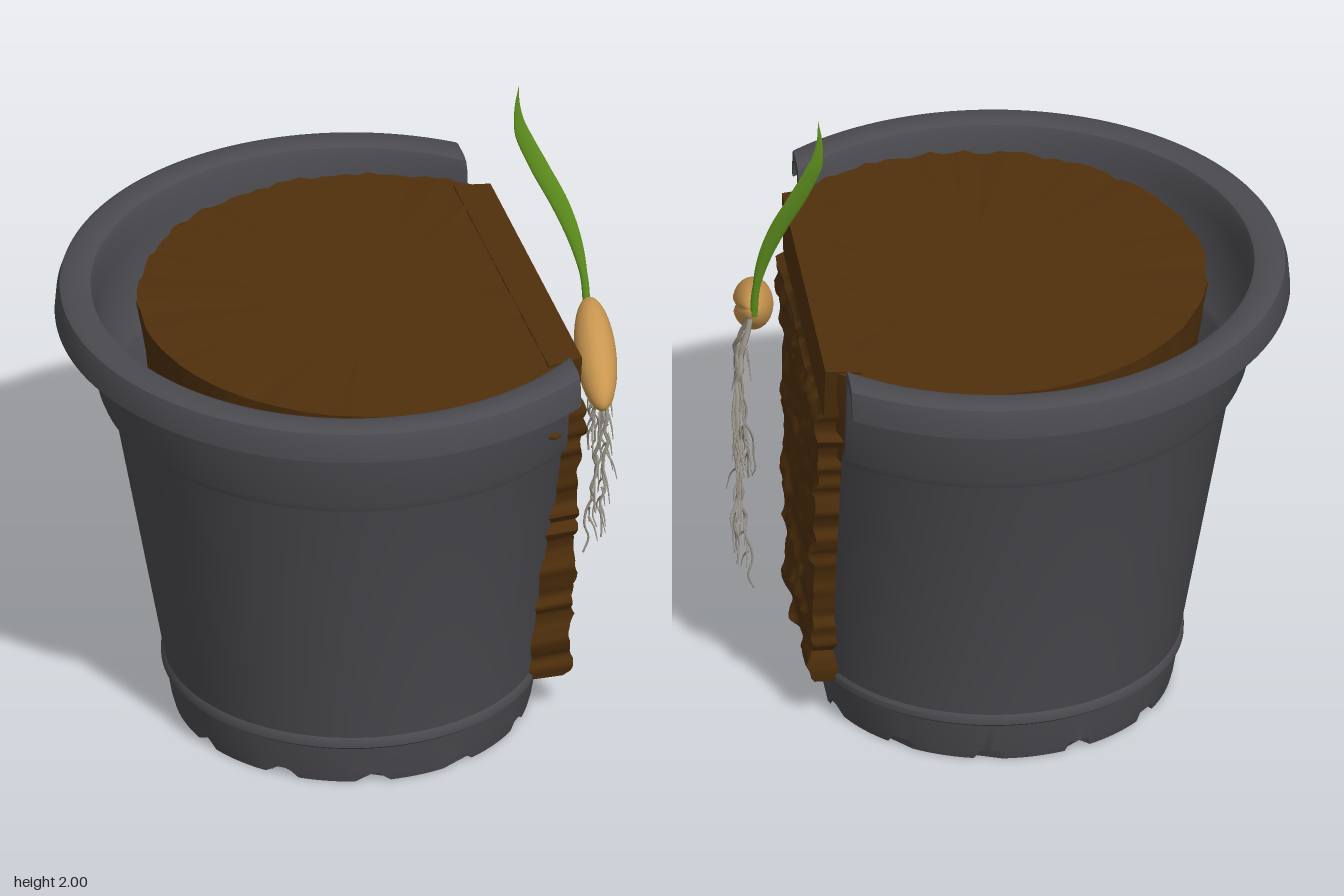
import * as THREE from 'three';
import { toCreasedNormals } from 'three/addons/utils/BufferGeometryUtils.js';

const V = (x, y, z) => new THREE.Vector3(x, y, z);
const lerp = THREE.MathUtils.lerp;
const material = (name, color) => {
  const m = new THREE.MeshStandardMaterial({ color });
  m.name = name;
  return m;
};

// Smooth repeatable noise from 0 to 1
const hash = (i, j) => {
  const s = Math.sin(i * 127.1 + j * 311.7) * 43758.5453;
  return s - Math.floor(s);
};
function noise(u, v) {
  const i = Math.floor(u), j = Math.floor(v);
  const a = THREE.MathUtils.smoothstep(u - i, 0, 1), b = THREE.MathUtils.smoothstep(v - j, 0, 1);
  return lerp(lerp(hash(i, j), hash(i + 1, j), a), lerp(hash(i, j + 1), hash(i + 1, j + 1), a), b);
}

// Move every vertex by a rule
function reshape(geometry, rule) {
  const pos = geometry.attributes.position, p = V(0, 0, 0);
  for (let i = 0; i < pos.count; i++) {
    rule(p.fromBufferAttribute(pos, i), i);
    pos.setXYZ(i, p.x, p.y, p.z);
  }
  geometry.computeVertexNormals();
  return geometry;
}

// Tube along points, each ring scaled by scale(t) = [x, y, z]
function sweep(points, segments, sides, scale) {
  const curve = new THREE.CatmullRomCurve3(points);
  const geometry = new THREE.TubeGeometry(curve, segments, 1, sides);
  return reshape(geometry, (p, i) => {
    const t = Math.floor(i / (sides + 1)) / segments;
    const c = curve.getPointAt(t);
    p.sub(c).multiply(V(...scale(t))).add(c);
  });
}

export function createModel() {
  const model = new THREE.Group();
  const plastic = material('dark grey plastic', 0x4b4b50);
  const earth = material('brown soil', 0x50300c);
  const husk = material('tan seed', 0xc9964f);
  const green = material('leaf green', 0x5e8e1e);
  const pale = material('root grey', 0x989286);
  const add = (name, geometry, mat, parent = model) => {
    const mesh = new THREE.Mesh(geometry, mat);
    mesh.name = name;
    parent.add(mesh);
    return mesh;
  };

  // Pot: closed wall profile swept round, sliced flat on the +x side
  const pot = new THREE.Group();
  pot.name = 'pot';
  pot.position.x = 0.035;
  model.add(pot);
  const CUT = 0.52;
  const profile = [
    [0, 0.03], [0.52, 0.03], [0.52, 0], [0.537, 0], [0.545, 0.03], [0.562, 0.13], [0.574, 0.14],
    [0.574, 0.16], [0.567, 0.172], [0.725, 1.07], [0.73, 1.085], [0.757, 1.085], [0.767, 1.11],
    [0.794, 1.32], [0.8, 1.4], [0.866, 1.4], [0.878, 1.34], [0.895, 1.34], [0.89, 1.4],
    [0.88, 1.43], [0.86, 1.44], [0.805, 1.44], [0.787, 1.432], [0.778, 1.41], [0.772, 1.34],
    [0.745, 1.12], [0.715, 1.08], [0.705, 1.06], [0.555, 0.14], [0.52, 0.14], [0, 0.14],
  ].map(([r, y]) => new THREE.Vector2(r, y));
  const SEG = 144;
  const wall = reshape(new THREE.LatheGeometry(profile, SEG), (p, i) => {
    const { x: r, y } = profile[i % profile.length];
    const start = r > CUT ? Math.acos(CUT / r) : 0;
    const a = lerp(start, 2 * Math.PI - start, Math.floor(i / profile.length) / SEG);
    const notch = y < 0.01 && (a * 12 / (2 * Math.PI) + 0.4) % 1 < 0.24;
    p.set(r * Math.cos(a), notch ? 0.03 : y, -r * Math.sin(a));
  });
  add('potWall', toCreasedNormals(wall, 0.55), plastic, pot);
  for (const side of [-1, 1]) {
    const section = profile.filter(p => p.x >= CUT)
      .map(p => new THREE.Vector2(side * Math.sqrt(p.x * p.x - CUT * CUT), p.y));
    const cap = new THREE.ShapeGeometry(new THREE.Shape(section)).rotateY(Math.PI / 2);
    add('potCutEdge', cap.translate(CUT, 0, 0), plastic, pot);
  }

  // Soil filling the pot, with a ragged rim
  const filling = reshape(new THREE.CylinderGeometry(0.71, 0.5, 1.245, 128, 12), p => {
    const k = p.y / 1.245 + 0.5;
    const n = noise(p.x * 30 + 50, p.z * 30 + 50) - 0.5;
    if (Math.hypot(p.x, p.z) > 0.1) {
      p.x *= 1 + 0.02 * n;
      p.z *= 1 + 0.02 * n;
      if (k > 0.99) p.y += 0.012 * n - 0.006;
    }
    p.x = Math.min(p.x + lerp(0.05, 0.1, k), 0.6);
    p.y += 0.7675;
    p.z += 0.008;
  });
  add('soilFilling', toCreasedNormals(filling, 0.7), earth);

  // Exposed soil face: smooth band on top, lumpy below
  const face = reshape(new THREE.BoxGeometry(1, 1, 1, 1, 80, 50), p => {
    const k = p.y + 0.5, front = p.x > 0;
    const y = lerp(0.14, 1.39, k);
    const half = lerp(0.28, 0.525, k) + (front ? 0 : 0.02 * k);
    const z = lerp(0.04, 0.01, k) + 2 * p.z * half;
    let x = front ? 0.61 : 0.5;
    const lumpy = front && y < 1.2 && y > 0.15;
    if (lumpy) x += 0.003 + 0.036 * noise(y * 19, z * 9 + 20) * noise(y * 40 + 7, z * 22 + 60) ** 0.5;
    const ragged = Math.abs(p.z) > 0.49 && y < 1.2 ? 0.03 * (noise(y * 28, p.z * 4 + 9) - 0.6) : 0;
    p.set(x, y, z + Math.sign(p.z) * ragged);
  });
  add('soilFace', toCreasedNormals(face, 0.8), earth);

  // Crumb of soil stuck on the collar
  const crumb = add('soilCrumb', new THREE.IcosahedronGeometry(0.02, 1), earth);
  crumb.scale.set(1.1, 0.5, 0.6);
  crumb.position.set(0.495, 1.19, 0.635);

  // Seed: grooved ellipsoid lying on a tilted axis
  const grain = reshape(new THREE.SphereGeometry(1, 48, 32), p => {
    const a = Math.atan2(p.z, p.x);
    const dent = 1 - 0.2 * Math.exp(-((a / 0.16) ** 2));
    p.set(p.x * 0.062 * dent, p.y * 0.2, p.z * 0.078 * dent);
  });
  const seed = add('seed', grain, husk);
  const axis = V(0.05, 0.17, -0.35).normalize();
  const across = V(1, 0, 0).addScaledVector(axis, -axis.x).normalize();
  seed.quaternion.setFromRotationMatrix(
    new THREE.Matrix4().makeBasis(across, axis, across.clone().cross(axis)));
  seed.position.set(0.738, 1.2, 0.222);

  // Shoot: round stem widening into a flat pointed blade
  const shoot = sweep([
    V(0.757, 1.26, 0.05), V(0.752, 1.36, 0.037), V(0.73, 1.48, 0.015), V(0.69, 1.6, -0.012),
    V(0.63, 1.73, -0.042), V(0.582, 1.85, -0.062), V(0.572, 1.93, -0.067), V(0.576, 2, -0.066),
  ], 60, 14, t => {
    const wide = 0.012 + 0.018 * Math.sin(Math.PI * Math.min(1, Math.max(0, (t - 0.15) / 0.85)));
    const tip = Math.min(1, (1 - t) / 0.22) ** 0.8;
    return [Math.max(0.0005, wide * tip), wide * tip * 0.6, Math.max(0.0005, 0.0105 * (1 - 0.4 * t) * tip)];
  });
  add('shoot', shoot, green);

  // Roots: three long strands with twins and fine side rootlets
  const roots = new THREE.Group();
  roots.name = 'roots';
  model.add(roots);
  const strand = (name, points, radius, segments) =>
    add(name, sweep(points, segments, 6, t => Array(3).fill(radius * (1 - 0.65 * t))), pale, roots);
  const paths = [
    [V(0.77, 1.26, 0.05), V(0.80, 1.1, 0.12), V(0.785, 0.92, 0.19), V(0.76, 0.75, 0.215), V(0.742, 0.57, 0.25)],
    [V(0.77, 1.26, 0.04), V(0.80, 1.1, 0.03), V(0.815, 0.9, -0.01), V(0.805, 0.7, -0.01), V(0.785, 0.52, -0.02), V(0.772, 0.35, -0.035)],
    [V(0.77, 1.26, 0.03), V(0.81, 1.1, -0.04), V(0.825, 0.95, -0.12), V(0.825, 0.82, -0.17), V(0.848, 0.7, -0.215), V(0.835, 0.57, -0.245)],
  ];
  paths.forEach((path, r) => {
    const guide = new THREE.CatmullRomCurve3(path);
    const wiggly = (shift, end) => Array.from({ length: 20 }, (_, i) => {
      const t = i / 19, s = Math.min(1, t * 6);
      return guide.getPointAt(t * end).add(V(
        s * (0.02 * (hash(i, r + shift * 90) - 0.5) + shift * 0.4), 0,
        s * (0.018 * (hash(i + 40, r + shift * 90) - 0.5) + shift)));
    });
    strand('mainRoot', wiggly(0, 1), 0.0085, 70);
    if (r !== 1) strand('twinRoot', wiggly(r ? 0.022 : -0.022, 0.97), 0.006, 60);
    for (let i = 0; i < 20; i++) {
      const from = guide.getPointAt(0.1 + 0.8 * i / 20);
      const side = i % 2 ? 1 : -1, len = 0.05 + 0.06 * hash(i, r + 5);
      const out = 0.35 * len * (hash(i, r + 9) - 0.4);
      strand('rootlet', [
        from, from.clone().add(V(out, -0.4 * len, side * 0.3 * len)),
        from.clone().add(V(out * 1.6, -len, side * 0.45 * len)),
      ], 0.0038, 8);
    }
  });

  return model;
}
